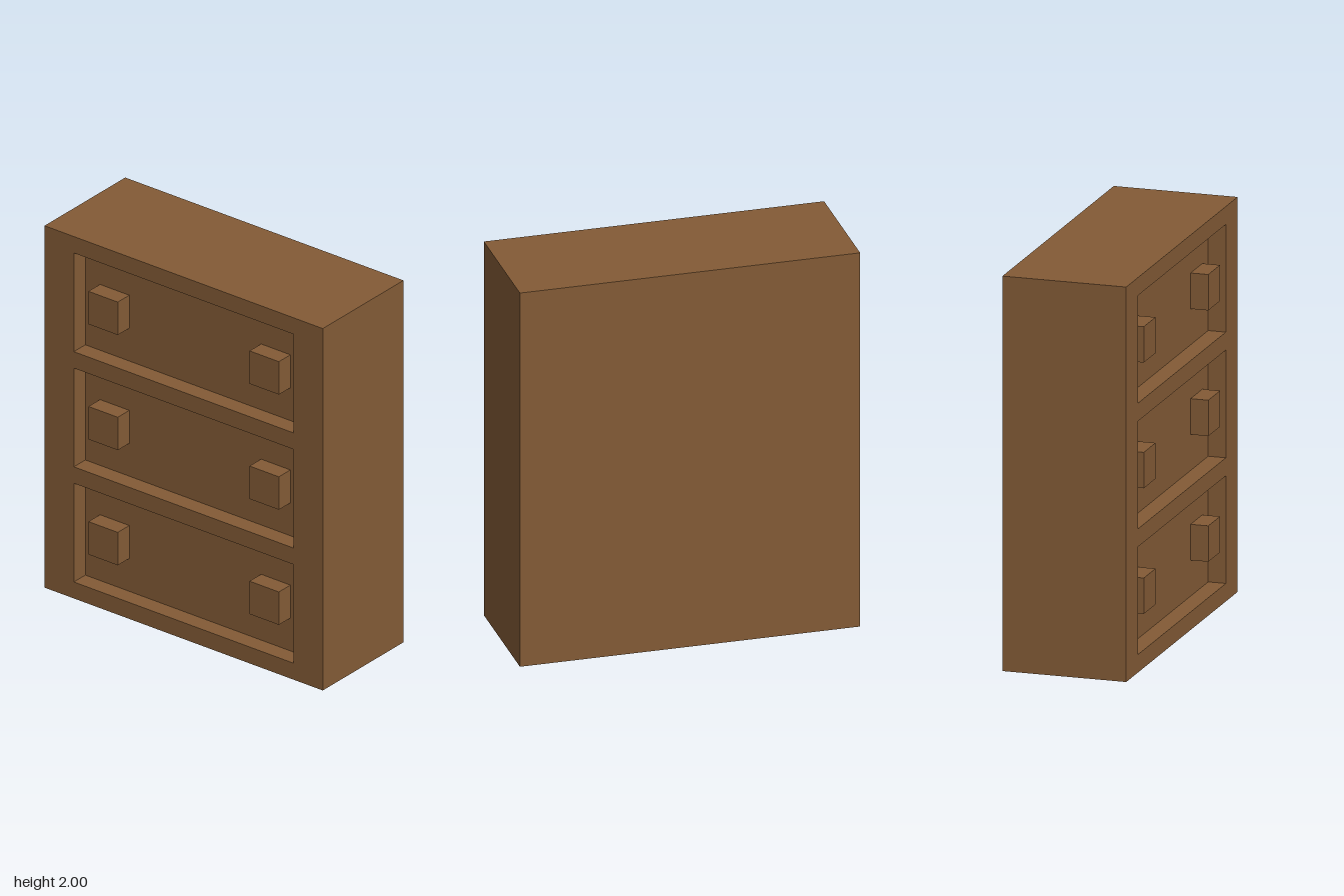
import * as THREE from 'three';

const U = 1 / 11; // module unit: the cabinet is 7 x 22 x 19 units

export function createModel() {
  const group = new THREE.Group();
  const wood = new THREE.MeshStandardMaterial({ name: 'brown wood', color: 0x835b36 });

  const add = (name, geometry, x, y, z) => {
    const mesh = new THREE.Mesh(geometry, wood);
    mesh.name = name;
    mesh.position.set(x * U, y * U, z * U);
    group.add(mesh);
  };
  const rect = (path, x0, y0, x1, y1) => path
    .moveTo(x0 * U, y0 * U).lineTo(x1 * U, y0 * U)
    .lineTo(x1 * U, y1 * U).lineTo(x0 * U, y1 * U).closePath();

  // Solid carcass behind the recessed drawers
  add('carcass', new THREE.BoxGeometry(6 * U, 22 * U, 19 * U), 0.5, 11, 0);

  // Drawer-side frame with three openings, facing -x
  const outline = new THREE.Shape();
  rect(outline, -9.5, 0, 9.5, 22);
  for (let i = 0; i < 3; i++) {
    const hole = new THREE.Path();
    rect(hole, -7.5, 1 + 7 * i, 7.5, 7 + 7 * i);
    outline.holes.push(hole);
  }
  const frame = new THREE.ExtrudeGeometry(outline, { depth: U, bevelEnabled: false });
  frame.rotateY(-Math.PI / 2);
  add('drawerFrame', frame, -2.5, 0, 0);

  // Two square knobs per drawer, flush with the frame
  const knob = new THREE.BoxGeometry(U, 2 * U, 2 * U);
  for (let i = 0; i < 3; i++) {
    for (const side of [-1, 1]) add('drawerKnob', knob, -3, 4 + 7 * i, 5.5 * side);
  }
  return group;
}
